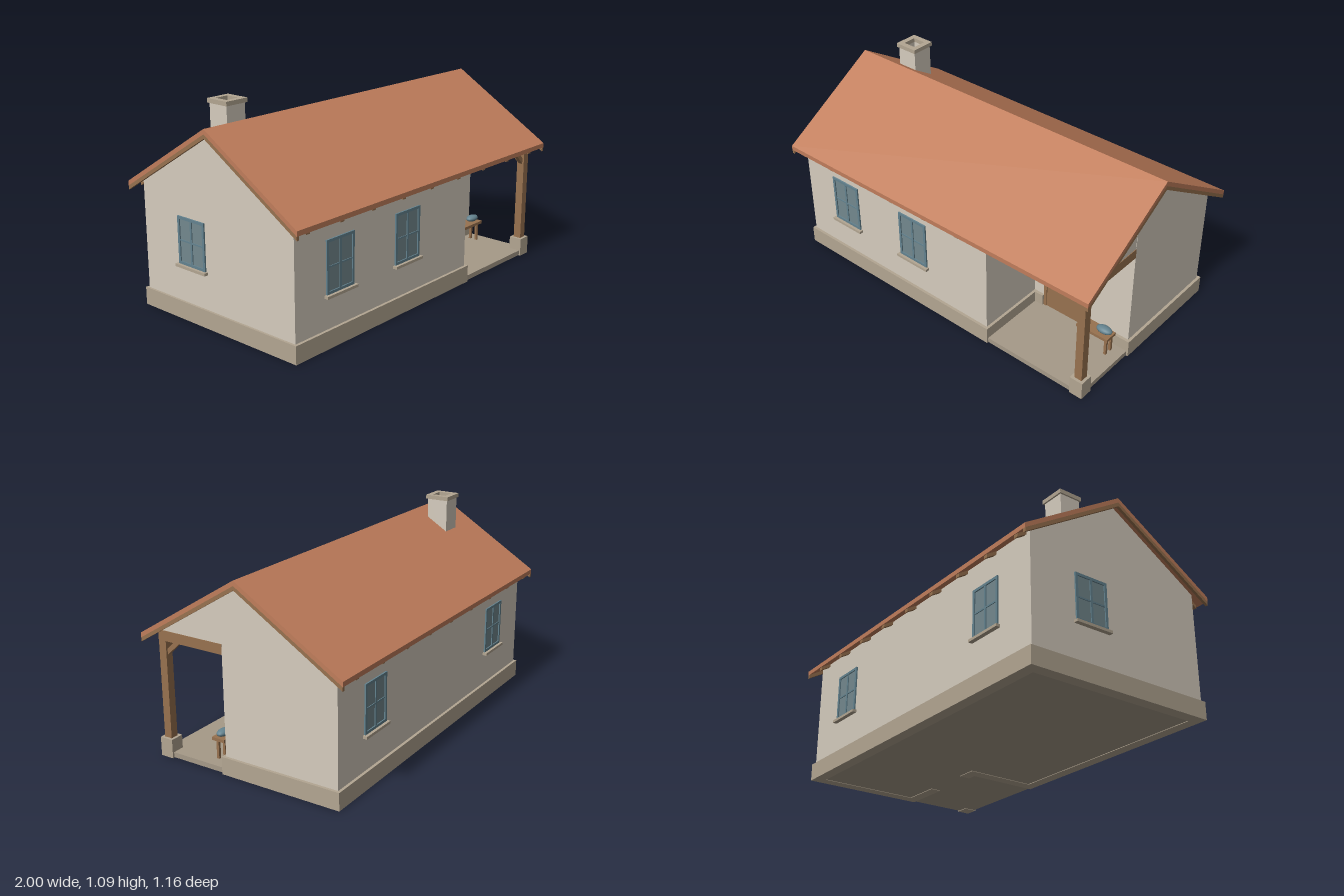
import * as THREE from 'three';

const mat = (name, color) => {
  const m = new THREE.MeshStandardMaterial({ color });
  m.name = name;
  return m;
};

export function createModel() {
  const plaster = mat('plaster', 0xd5ccbe);
  const stone = mat('stone', 0xb3a692);
  const paving = mat('paving', 0xa69a88);
  const tile = mat('roof tile', 0xc07d5b);
  const wood = mat('wood', 0x98724f);
  const blue = mat('blue paint', 0x64838f);
  const glass = mat('glass', 0x73888e);

  const house = new THREE.Group();
  house.name = 'cottage';

  const add = (name, geo, material, parent = house) => {
    const mesh = new THREE.Mesh(geo, material);
    mesh.name = name;
    parent.add(mesh);
    return mesh;
  };
  // Box given by its minimum and maximum on each axis
  const block = (name, material, x0, x1, y0, y1, z0, z1, parent) => {
    const geo = new THREE.BoxGeometry(x1 - x0, y1 - y0, z1 - z0);
    geo.translate((x0 + x1) / 2, (y0 + y1) / 2, (z0 + z1) / 2);
    return add(name, geo, material, parent);
  };
  // Outline of [z, y] points extruded along x
  const profile = (name, material, points, x0, x1) => {
    const shape = new THREE.Shape(points.map(([z, y]) => new THREE.Vector2(z, y)));
    const geo = new THREE.ExtrudeGeometry(shape, { depth: x1 - x0, bevelEnabled: false });
    geo.rotateY(-Math.PI / 2).translate(x1, 0, 0);
    return add(name, geo, material);
  };
  // Square timber between two points
  const timber = (name, a, b, size) => {
    const from = new THREE.Vector3(...a), to = new THREE.Vector3(...b);
    const mesh = add(name, new THREE.BoxGeometry(size, size, from.distanceTo(to)), wood);
    mesh.position.copy(from).lerp(to, 0.5);
    mesh.lookAt(to);
  };

  const slope = 0.614, ridge = 1.01, under = 0.985;
  const roofY = (z, top) => top - slope * Math.abs(z);

  // Walls: full-depth block, shallower block behind the porch, porch gable
  const wallTop = under - 0.003;
  profile('mainWalls', plaster, [[-0.515, 0.025], [0.515, 0.025], [0.515, roofY(0.515, wallTop)],
    [0, wallTop], [-0.515, roofY(0.515, wallTop)]], -0.955, 0.345);
  profile('entranceWalls', plaster, [[-0.515, 0.025], [0.127, 0.025], [0.127, roofY(0.127, wallTop)],
    [0, wallTop], [-0.515, roofY(0.515, wallTop)]], 0.345, 0.945);
  profile('porchGable', plaster, [[0.127, 0.66], [0.515, 0.66], [0.515, roofY(0.515, wallTop)],
    [0.127, roofY(0.127, wallTop)]], 0.905, 0.943);

  // Floor and plinth, with a gap at the door
  block('floorSlab', paving, -0.955, 0.95, 0.003, 0.03, -0.515, 0.522);
  [
    [-0.967, -0.905, -0.53, 0.53],
    [-0.967, 0.96, -0.53, -0.47],
    [0.9, 0.96, -0.53, 0.143],
    [-0.967, 0.36, 0.47, 0.53],
    [0.3, 0.36, 0.083, 0.53],
    [0.3, 0.41, 0.083, 0.143],
    [0.69, 0.96, 0.083, 0.143],
  ].forEach(([x0, x1, z0, z1]) => block('plinth', stone, x0, x1, 0, 0.093, z0, z1));

  // Roof covering, bargeboards and rafters share one chevron outline
  const chevron = (half, top, bottom) => [[half, roofY(half, bottom)], [half, roofY(half, top)], [0, top],
    [-half, roofY(half, top)], [-half, roofY(half, bottom)], [0, bottom]];
  profile('roof', tile, chevron(0.578, ridge, under), -1, 1);
  for (const x of [-1, 0.985]) profile('bargeboard', wood, chevron(0.577, under, 0.964), x, x + 0.015);
  for (let i = 0; i < 9; i++) {
    const x = -0.92 + i * 0.2235;
    profile('rafter', wood, chevron(0.568, under, 0.967), x - 0.0125, x + 0.0125);
  }

  // Chimney: hollow shaft and cap
  const hollow = (name, material, size, hole, y0, y1) => {
    const s = size / 2, h = hole / 2;
    const square = (r) => [[-r, -r], [r, -r], [r, r], [-r, r]].map((p) => new THREE.Vector2(...p));
    const shape = new THREE.Shape(square(s));
    shape.holes.push(new THREE.Path(square(h).reverse()));
    const geo = new THREE.ExtrudeGeometry(shape, { depth: y1 - y0, bevelEnabled: false });
    geo.rotateX(-Math.PI / 2).translate(-0.735, y0, -0.127);
    add(name, geo, material);
  };
  hollow('chimneyShaft', plaster, 0.118, 0.075, 0.86, 1.072);
  hollow('chimneyCap', stone, 0.135, 0.075, 1.072, 1.094);

  // Window built facing +z with its sill, then turned onto a wall
  const addWindow = (x, z, turn, y0, y1) => {
    const g = new THREE.Group();
    g.name = 'window';
    const w = 0.095, bar = 0.014, mid = (y0 + y1) / 2;
    block('pane', glass, -w + 0.005, w - 0.005, y0, y1 - 0.005, -0.004, 0.002, g);
    for (const s of [-1, 1]) {
      const c = s * (w - bar / 2);
      block('frameSide', blue, c - bar / 2, c + bar / 2, y0, y1, -0.004, 0.008, g);
    }
    for (const y of [y0, y1 - bar]) block('frameRail', blue, -w + bar, w - bar, y, y + bar, -0.004, 0.008, g);
    block('mullion', blue, -0.006, 0.006, y0 + bar, y1 - bar, -0.004, 0.007, g);
    block('glazingBar', blue, -w + bar, w - bar, mid - 0.004, mid + 0.004, -0.004, 0.006, g);
    block('sill', stone, -0.106, 0.106, y0 - 0.014, y0, -0.004, 0.023, g);
    g.position.set(x, 0, z);
    g.rotation.y = turn;
    house.add(g);
  };
  for (const x of [-0.655, -0.157]) addWindow(x, 0.515, 0, 0.267, 0.534);
  for (const x of [-0.63, 0.63]) addWindow(x, -0.515, Math.PI, 0.281, 0.534);
  addWindow(-0.955, -0.166, -Math.PI / 2, 0.289, 0.534);

  // Door, frame and handle
  block('door', wood, 0.43, 0.672, 0.03, 0.562, 0.12, 0.13);
  block('doorJamb', wood, 0.412, 0.43, 0.03, 0.562, 0.12, 0.135);
  block('doorJamb', wood, 0.672, 0.69, 0.03, 0.562, 0.12, 0.135);
  block('lintel', wood, 0.4, 0.7, 0.56, 0.583, 0.12, 0.14);
  block('handlePlate', blue, 0.622, 0.636, 0.262, 0.292, 0.129, 0.133);
  block('handle', blue, 0.614, 0.641, 0.282, 0.29, 0.133, 0.14);

  // Porch post, beams and braces
  block('postBase', stone, 0.885, 0.96, 0, 0.1, 0.457, 0.53);
  block('post', wood, 0.902, 0.945, 0.1, 0.615, 0.472, 0.515);
  block('sideBeam', wood, 0.902, 0.946, 0.615, 0.667, 0.127, 0.472);
  block('frontBeam', wood, 0.345, 0.946, 0.615, 0.667, 0.472, 0.515);
  timber('sideBrace', [0.923, 0.54, 0.49], [0.923, 0.632, 0.392], 0.024);
  timber('frontBrace', [0.92, 0.54, 0.493], [0.826, 0.632, 0.493], 0.024);

  // Bench with a blue pot and a small wooden stand
  block('benchSeat', wood, 0.71, 0.9, 0.131, 0.147, 0.175, 0.25);
  for (const x of [0.722, 0.873])
    for (const z of [0.18, 0.22]) block('benchLeg', wood, x, x + 0.014, 0.03, 0.131, z, z + 0.014);
  const pot = add('pot', new THREE.SphereGeometry(1, 20, 12), blue);
  pot.scale.set(0.045, 0.019, 0.027);
  pot.position.set(0.855, 0.166, 0.211);
  const stand = add('stand', new THREE.CylinderGeometry(0.004, 0.006, 0.05, 8), wood);
  stand.position.set(0.745, 0.172, 0.211);
  block('standBar', wood, 0.733, 0.758, 0.163, 0.17, 0.206, 0.216);

  return house;
}
